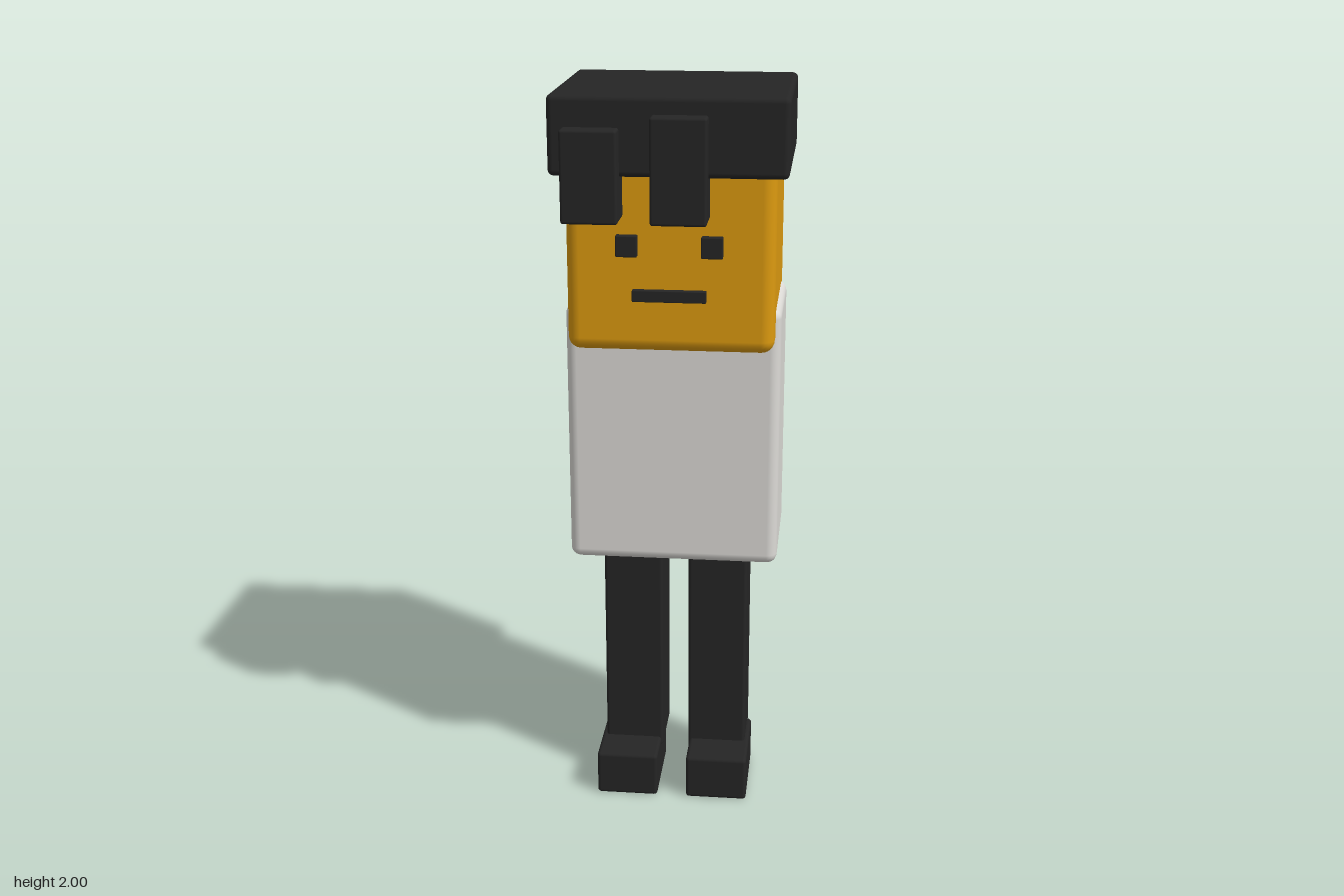
import * as THREE from 'three';
import { RoundedBoxGeometry } from 'three/addons/geometries/RoundedBoxGeometry.js';

export function createModel() {
  const model = new THREE.Group();
  model.name = 'blockFigure';

  const mat = (name, color) => {
    const m = new THREE.MeshStandardMaterial({ color });
    m.name = name;
    return m;
  };
  const black = mat('black', 0x252525);
  const orange = mat('orange', 0xdc9a10);
  const white = mat('offWhite', 0xdcdad6);

  // Rounded block spanning [min, max] along each axis
  const block = (name, material, [x0, x1], [y0, y1], [z0, z1], radius) => {
    const geometry = new RoundedBoxGeometry(x1 - x0, y1 - y0, z1 - z0, 3, radius);
    const mesh = new THREE.Mesh(geometry, material);
    mesh.position.set((x0 + x1) / 2, (y0 + y1) / 2, (z0 + z1) / 2);
    mesh.name = name;
    model.add(mesh);
  };

  // Head and torso
  block('torso', white, [-0.285, 0.283], [0.72, 1.44], [-0.228, 0.118], 0.028);
  block('head', orange, [-0.27, 0.268], [1.335, 1.835], [-0.293, 0.182], 0.034);

  // Hair cap with two uneven locks over the forehead
  block('hair', black, [-0.3, 0.3], [1.8, 2], [-0.262, 0.243], 0.015);
  block('rightLock', black, [-0.262, -0.12], [1.69, 1.922], [0.181, 0.29], 0.007);
  block('leftLock', black, [-0.04, 0.101], [1.69, 1.955], [0.181, 0.29], 0.007);

  // Face
  block('rightEye', black, [-0.138, -0.083], [1.59, 1.645], [0.175, 0.202], 0.003);
  block('leftEye', black, [0.08, 0.135], [1.59, 1.645], [0.175, 0.202], 0.003);
  block('mouth', black, [-0.096, 0.094], [1.476, 1.506], [0.189, 0.208], 0.002);

  // Legs and shoes
  for (const [side, x] of [['right', -0.12], ['left', 0.117]]) {
    block(side + 'Leg', black, [x - 0.082, x + 0.082], [0.1, 0.8], [-0.148, 0.04], 0.009);
    const foot = x + (x < 0 ? -0.009 : 0.008);
    block(side + 'Shoe', black, [foot - 0.086, foot + 0.086], [0, 0.128], [-0.1, 0.152], 0.01);
  }

  return model;
}
